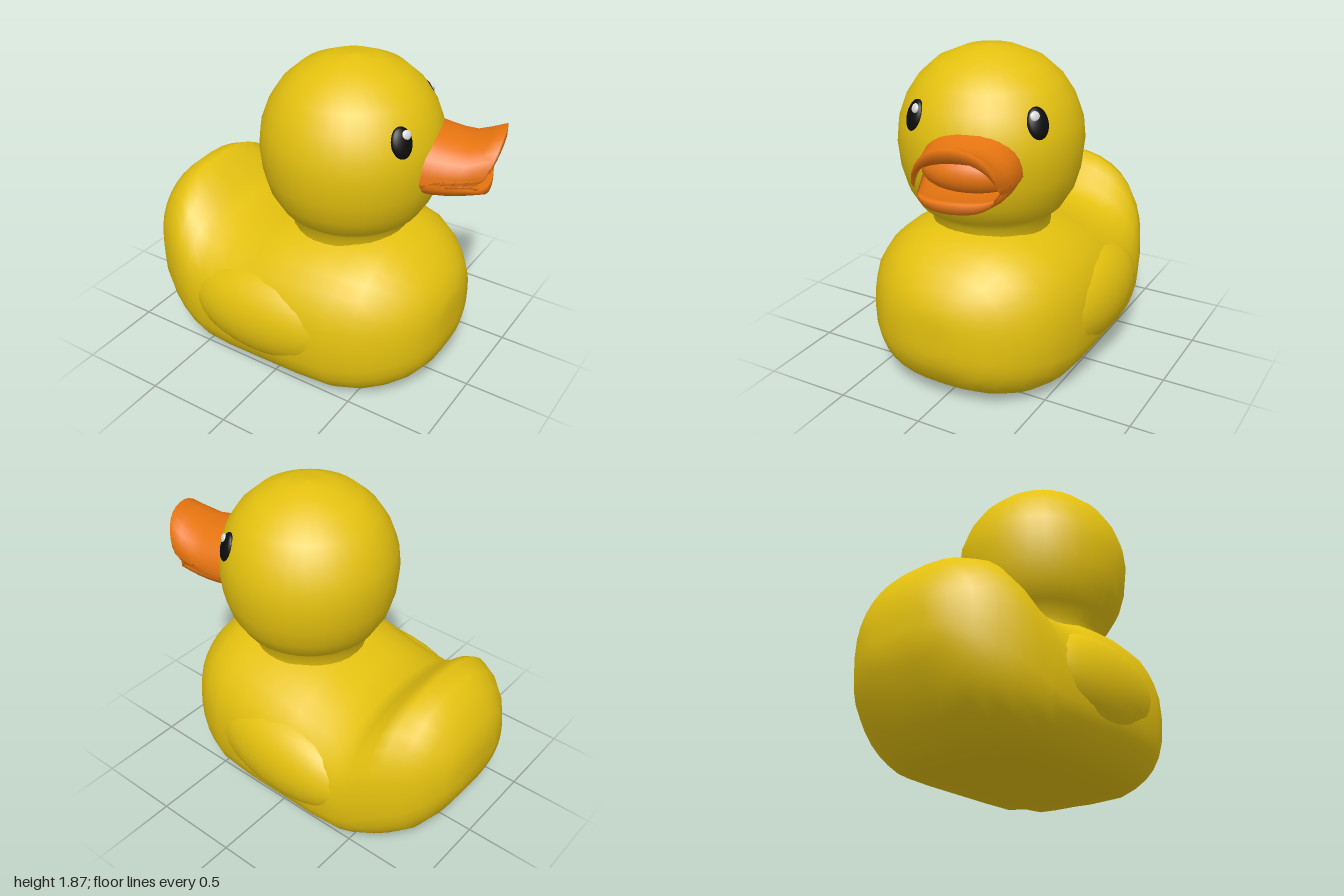
import * as THREE from 'three';
import { mergeVertices } from 'three/addons/utils/BufferGeometryUtils.js';

const mat = (name, color, side = THREE.FrontSide) => {
  const m = new THREE.MeshStandardMaterial({ color, side });
  m.name = name;
  return m;
};

// Smooth surface through rows of points [x, y, z]
function skin(rows) {
  const cols = rows[0].length, index = [];
  for (let r = 0; r < rows.length - 1; r++) {
    for (let c = 0; c < cols - 1; c++) {
      const a = r * cols + c, b = a + cols;
      index.push(a, b, a + 1, b, b + 1, a + 1);
    }
  }
  let g = new THREE.BufferGeometry();
  g.setAttribute('position', new THREE.Float32BufferAttribute(rows.flat(2), 3));
  g.setIndex(index);
  g = mergeVertices(g, 1e-4);
  g.computeVertexNormals();
  return g;
}

// Rounded body cross-section, flattened where it meets the floor
function bodySection([x, bottom, top, w]) {
  const mid = bottom + (top - bottom) * 0.46, pts = [];
  for (let i = 0; i <= 32; i++) {
    const t = (i % 32) / 32 * Math.PI * 2, c = Math.cos(t), s = Math.sin(t);
    const n = s < 0 ? 2.7 : 2.35;
    const z = w * Math.sign(c) * Math.abs(c) ** (2 / n);
    const h = Math.abs(s) ** (2 / n);
    pts.push([x, Math.max(0, s < 0 ? mid - (mid - bottom) * h : mid + (top - mid) * h), z]);
  }
  return pts;
}

// Half of the bill: outer skin out to the lip, then back along the inside
function billHalf({ sign, y, length, width, heights, thick }) {
  const rows = [], N = 6;
  const curve = new THREE.SplineCurve(heights.map((h, i) => new THREE.Vector2(i, h)));
  for (let k = 0; k <= 2 * N + 1; k++) {
    const inner = k > N, t = (inner ? 2 * N + 1 - k : k) / N, row = [];
    const h = curve.getPoint(t).y - (inner ? thick : 0);
    const w = width * (1 - 0.2 * t * t);
    for (let i = 0; i <= 16; i++) {
      const a = i / 16 * Math.PI, s = Math.sin(a);
      const c = Math.cos(a);
      row.push([
        0.36 + length * t * (0.72 + 0.28 * Math.sqrt(s)),
        y + sign * h * s ** 0.9,
        sign * w * Math.sign(c) * Math.abs(c) ** 0.9,
      ]);
    }
    rows.push(row);
  }
  return skin(rows);
}

export function createModel() {
  const yellow = mat('yellow', 0xe4c10f);
  const orange = mat('orange', 0xe87510, THREE.DoubleSide);
  const black = mat('black', 0x0c0c0c);
  const white = mat('white', 0xdcdcdc);

  const model = new THREE.Group();
  model.name = 'duck';
  const add = (parent, name, geometry, material) => {
    const m = new THREE.Mesh(geometry, material);
    m.name = name;
    parent.add(m);
    return m;
  };
  const ball = new THREE.SphereGeometry(1, 24, 16);

  // Body and upturned tail: x, bottom, top, half width
  const sections = [
    [-1, 0.55, 0.6, 0], [-1, 0.46, 0.7, 0.17], [-0.97, 0.36, 0.81, 0.29],
    [-0.9, 0.22, 0.92, 0.4], [-0.82, 0.11, 0.99, 0.48], [-0.72, 0.04, 1.02, 0.545],
    [-0.64, 0.0, 0.97, 0.58], [-0.55, -0.03, 0.88, 0.605], [-0.46, -0.05, 0.83, 0.62],
    [-0.3, -0.05, 0.83, 0.635], [-0.12, -0.05, 0.87, 0.64], [0, -0.05, 0.91, 0.645],
    [0.2, -0.05, 0.93, 0.645], [0.4, -0.05, 0.93, 0.625], [0.55, -0.02, 0.91, 0.57],
    [0.66, 0.03, 0.85, 0.5], [0.75, 0.09, 0.78, 0.41], [0.82, 0.17, 0.7, 0.31],
    [0.86, 0.26, 0.61, 0.18], [0.87, 0.33, 0.54, 0.09], [0.87, 0.42, 0.45, 0],
  ];
  add(model, 'body', skin(sections.map(bodySection)), yellow);

  // Low raised wings
  for (const side of [-1, 1]) {
    const wing = add(model, side > 0 ? 'leftWing' : 'rightWing', ball, yellow);
    wing.scale.set(0.54, 0.28, 0.22);
    wing.position.set(-0.02, 0.42, side * 0.475);
    wing.rotation.set(0, side * 0.04, 0.05);
  }

  // Head, turned slightly to the duck's right
  const head = new THREE.Group();
  head.name = 'head';
  head.position.x = 0.2;
  head.rotation.y = 0.28;
  model.add(head);
  const profile = [
    [0.33, 0.84], [0.33, 0.94], [0.4, 1.0], [0.46, 1.1], [0.495, 1.22], [0.51, 1.36],
    [0.498, 1.48], [0.455, 1.6], [0.39, 1.7], [0.29, 1.79], [0.15, 1.85], [0, 1.87],
  ].map(([r, y]) => new THREE.Vector2(r, y));
  add(head, 'skull', new THREE.LatheGeometry(profile, 32), yellow);

  // Open bill
  add(head, 'upperBill', billHalf({
    sign: 1, y: 1.3, length: 0.46, width: 0.27, heights: [0.25, 0.21, 0.19, 0.26], thick: 0.06,
  }), orange);
  add(head, 'lowerBill', billHalf({
    sign: -1, y: 1.29, length: 0.41, width: 0.25, heights: [0.11, 0.12, 0.11, 0.08], thick: 0.055,
  }), orange);
  const mouth = add(head, 'mouth', ball, orange);
  mouth.scale.set(0.16, 0.13, 0.27);
  mouth.position.set(0.4, 1.31, 0);

  // Eyes with highlights
  for (const side of [-1, 1]) {
    const angle = side * 0.76;
    const eye = new THREE.Group();
    eye.name = side > 0 ? 'rightEye' : 'leftEye';
    eye.position.set(0.465 * Math.cos(angle), 1.555, -0.465 * Math.sin(angle));
    eye.rotation.set(-0.33, Math.PI / 2 + angle, 0, 'YXZ');
    head.add(eye);
    add(eye, 'pupil', ball, black).scale.set(0.062, 0.085, 0.03);
    const glint = add(eye, 'highlight', ball, white);
    glint.scale.set(0.028, 0.026, 0.012);
    glint.position.set(-side * 0.022, 0.038, 0.022);
  }
  return model;
}
